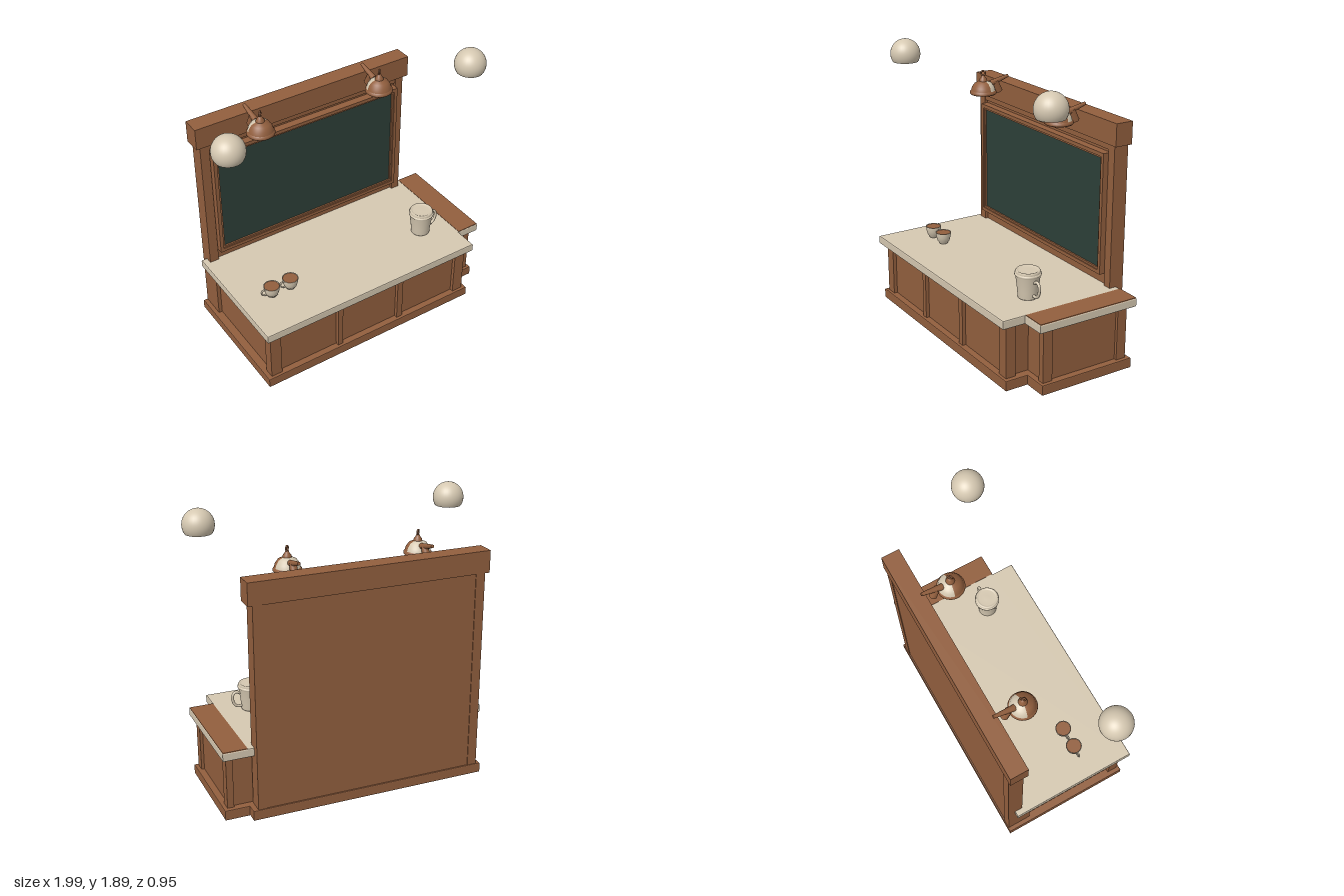
import * as THREE from 'three';

const mat = (name, color) => Object.assign(new THREE.MeshStandardMaterial({ color }), { name });

export function createModel() {
  const wood = mat('wood', 0x925f3e);
  const cream = mat('cream', 0xd5c8b1);
  const slate = mat('slate', 0x2d4039);
  const creamOpen = mat('cream shell', 0xd5c8b1);
  const woodOpen = mat('wood shell', 0x925f3e);
  creamOpen.side = woodOpen.side = THREE.DoubleSide;

  const root = new THREE.Group();
  root.name = 'chalkboardCounter';
  const group = (name, x = 0, y = 0, z = 0) => {
    const g = new THREE.Group();
    g.name = name;
    g.position.set(x, y, z);
    root.add(g);
    return g;
  };
  const add = (parent, name, geo, material, x = 0, y = 0, z = 0) => {
    const m = new THREE.Mesh(geo, material);
    m.name = name;
    m.position.set(x, y, z);
    parent.add(m);
    return m;
  };
  // Box given by its limits on each axis
  const box = (parent, name, [x0, x1], [y0, y1], [z0, z1], material = wood) =>
    add(parent, name, new THREE.BoxGeometry(x1 - x0, y1 - y0, z1 - z0), material,
      (x0 + x1) / 2, (y0 + y1) / 2, (z0 + z1) / 2);
  const lathe = (pts, start = 0, length = Math.PI * 2, seg = 32) =>
    new THREE.LatheGeometry(pts.map(([r, y]) => new THREE.Vector2(r, y)), seg, start, length);
  const tube = (pts, r) => new THREE.TubeGeometry(
    new THREE.CatmullRomCurve3(pts.map(p => new THREE.Vector3(...p))), 20, r, 8);
  // Horizontal slab with a plan outline of [x, z] corners
  const slab = (parent, name, plan, y0, y1, bevel, material) => {
    const shape = new THREE.Shape(plan.map(([x, z]) => new THREE.Vector2(x, -z)));
    const geo = new THREE.ExtrudeGeometry(shape, {
      depth: y1 - y0 - 2 * bevel, bevelThickness: bevel, bevelSize: bevel,
      bevelOffset: -bevel, bevelSegments: 2,
    });
    geo.rotateX(-Math.PI / 2);
    return add(parent, name, geo, material, 0, y0 + bevel, 0);
  };

  // Back wall: posts, recessed panel, rails and header beam
  const wall = group('backWall');
  box(wall, 'wallPanel', [-0.78, 0.74], [0.03, 1.46], [-0.465, -0.385]);
  for (const x of [[-0.81, -0.745], [0.715, 0.775]]) box(wall, 'wallPost', x, [0.03, 1.46], [-0.47, -0.365]);
  box(wall, 'topRail', [-0.75, 0.72], [1.41, 1.46], [-0.39, -0.368]);
  box(wall, 'headerBeam', [-0.84, 0.805], [1.45, 1.6], [-0.475, -0.35]);

  // Chalkboard with a stepped frame
  const board = group('chalkboard');
  box(board, 'slateSurface', [-0.71, 0.68], [0.595, 1.365], [-0.386, -0.35], slate);
  for (const [inset, w, z] of [[0, 0.025, -0.33], [0.02, 0.018, -0.338]]) {
    const x0 = -0.74 + inset, x1 = 0.71 - inset, y0 = 0.57 + inset, y1 = 1.388 - inset;
    for (const y of [[y0, y0 + w], [y1 - w, y1]]) box(board, 'frameRail', [x0, x1], y, [-0.386, z]);
    for (const x of [[x0, x0 + w], [x1 - w, x1]]) box(board, 'frameStile', x, [y0 + w, y1 - w], [-0.386, z]);
  }

  // Cabinet: plinth, recessed body, posts
  const cabinet = group('cabinet');
  slab(cabinet, 'plinth', [[-0.84, 0.45], [0.81, 0.45], [0.81, 0.29], [0.975, 0.29], [0.975, -0.4],
    [0.81, -0.4], [0.81, -0.475], [-0.84, -0.475]], 0, 0.07, 0.006, wood);
  box(cabinet, 'mainBody', [-0.785, 0.755], [0.06, 0.435], [-0.4, 0.405]);
  box(cabinet, 'sideBody', [0.74, 0.93], [0.06, 0.435], [-0.35, 0.25]);
  for (const x of [[-0.81, -0.73], [-0.285, -0.245], [0.205, 0.25], [0.70, 0.78]])
    box(cabinet, 'frontPost', x, [0.065, 0.435], [0.36, 0.43]);
  box(cabinet, 'leftRearPost', [-0.81, -0.74], [0.065, 0.435], [-0.37, -0.3]);
  for (const z of [[0.2, 0.27], [-0.37, -0.3]])
    box(cabinet, 'sidePost', [0.905, 0.95], [0.065, 0.435], z);

  // Countertop with a wooden inlay on the side wing
  const counter = group('countertop');
  slab(counter, 'counterSlab', [[-0.85, 0.475], [0.815, 0.475], [0.815, 0.315], [0.982, 0.315], [0.982, -0.42],
    [-0.85, -0.42]], 0.43, 0.49, 0.008, cream);
  box(counter, 'woodInlay', [0.817, 0.98], [0.487, 0.493], [-0.418, 0.312], wood);

  // Hanging globes with a flat cut underneath
  for (const x of [-0.892, 0.89]) {
    const globe = group('globeLamp', x, 1.79, 0.2);
    const cut = Math.PI - Math.acos(0.055 / 0.105);
    add(globe, 'globe', new THREE.SphereGeometry(0.105, 32, 20, 0, Math.PI * 2, 0, cut), cream);
    const r = 0.105 * Math.sin(cut);
    add(globe, 'globeBase', lathe([[0, 0.012], [r * 0.6, 0.008], [r, 0]]), creamOpen, 0, -0.055, 0);
  }

  // Wall lamps: two-tone shade, bulb, hook ring and bracket arm
  for (const x of [-0.468, 0.44]) {
    const lamp = group('wallLamp', x, 1.54, -0.178);
    const dome = [[0.084, 0.026], [0.077, 0.05], [0.06, 0.075], [0.03, 0.09], [0.024, 0.094]];
    add(lamp, 'shadeLip', lathe([[0.08, 0.006], [0.087, 0], [0.093, 0.006], [0.091, 0.018], [0.084, 0.026]]), woodOpen);
    add(lamp, 'shadeFront', lathe(dome, -Math.PI * 0.55, Math.PI * 1.1), woodOpen);
    add(lamp, 'shadeBack', lathe(dome, Math.PI * 0.55, Math.PI * 0.9), creamOpen);
    add(lamp, 'neck', lathe([[0.03, 0.085], [0.026, 0.105], [0.016, 0.115], [0.012, 0.128], [0, 0.13]]), wood);
    add(lamp, 'bulb', new THREE.SphereGeometry(0.03, 16, 12), wood, 0, 0.02, 0);
    const ring = add(lamp, 'hookRing', new THREE.TorusGeometry(0.015, 0.006, 8, 20), wood, 0, 0.146, 0);
    ring.rotation.y = Math.PI / 4;
    const arm = add(lamp, 'arm', new THREE.CylinderGeometry(0.011, 0.022, 0.15, 12), wood, 0, 0.085, -0.13);
    arm.rotation.x = -1.3;
    const bracket = add(lamp, 'bracket', new THREE.CylinderGeometry(0.023, 0.027, 0.08, 12), wood, 0, 0.04, -0.112);
    bracket.rotation.x = 0.4;
  }

  // Small coffee cups
  for (const x of [-0.625, -0.482]) {
    const cup = group('coffeeCup', x, 0.49, 0.15);
    add(cup, 'cupBody', lathe([[0, 0], [0.03, 0], [0.03, 0.008], [0.042, 0.022], [0.05, 0.05], [0.055, 0.083],
      [0.051, 0.083], [0.046, 0.06]]), creamOpen);
    const coffee = add(cup, 'coffee', new THREE.CircleGeometry(0.052, 28), wood, 0, 0.08, 0);
    coffee.rotation.x = -Math.PI / 2;
    add(cup, 'cupHandle', tube([[-0.048, 0.068, 0], [-0.07, 0.072, 0], [-0.078, 0.052, 0], [-0.064, 0.03, 0],
      [-0.042, 0.027, 0]], 0.006), cream);
  }

  // Lidded mug
  const mug = group('liddedMug', 0.597, 0.49, 0.15);
  add(mug, 'mugBody', lathe([[0, 0], [0.062, 0], [0.065, 0.006], [0.068, 0.05], [0.08, 0.15], [0.087, 0.158],
    [0.087, 0.168], [0.078, 0.172]]), creamOpen);
  add(mug, 'mugLid', lathe([[0.08, 0.165], [0.082, 0.18], [0.076, 0.19], [0.066, 0.186], [0.06, 0.182],
    [0.02, 0.184], [0, 0.184]]), creamOpen);
  add(mug, 'mugHandle', tube([[0.074, 0.122, 0], [0.105, 0.135, 0], [0.128, 0.11, 0], [0.122, 0.06, 0],
    [0.1, 0.033, 0], [0.066, 0.03, 0]], 0.01), cream);

  return root;
}
